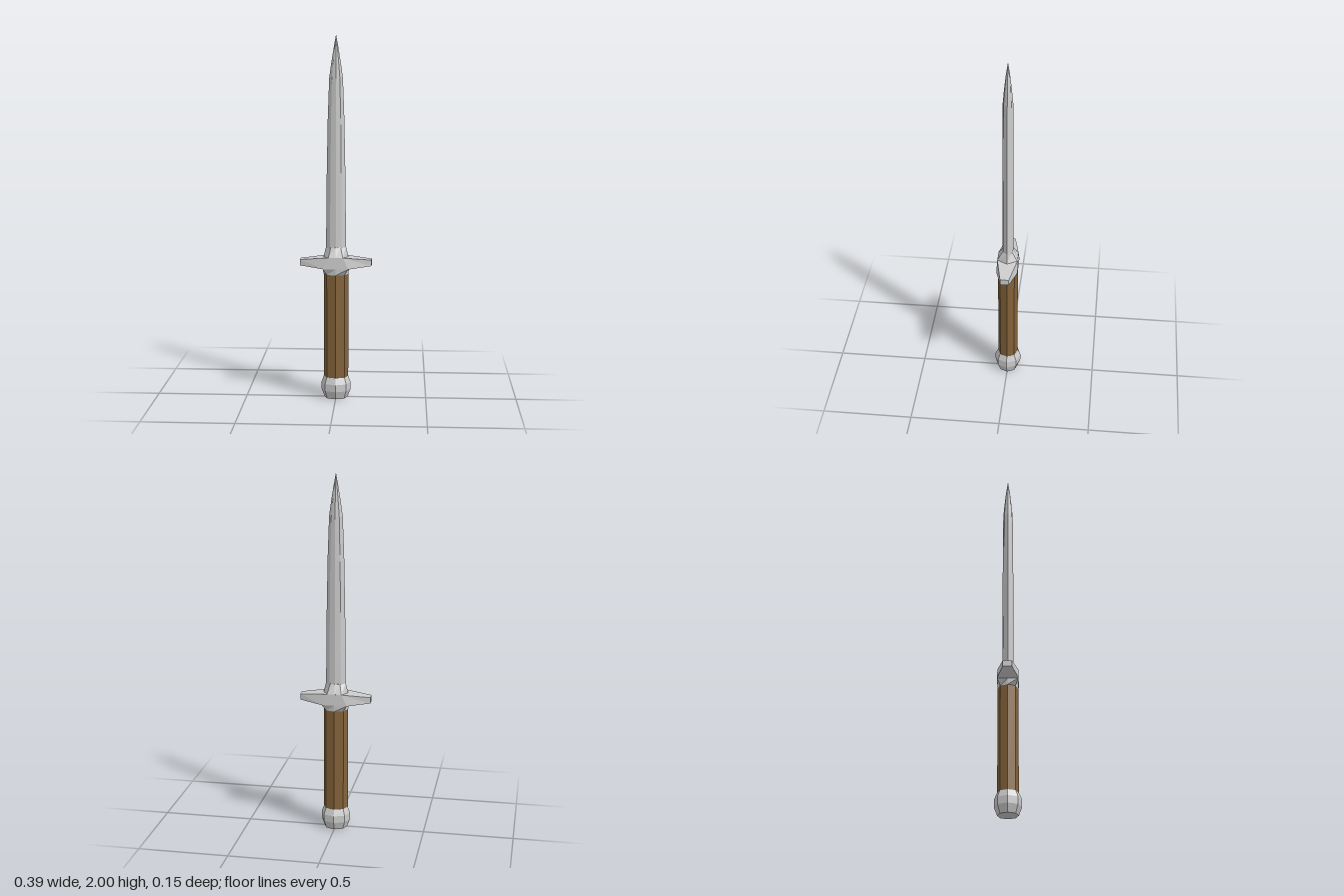
import * as THREE from 'three';

// Skin a list of equal-length point rings; both ends are capped.
function loft(name, rings, color = 0xcccccc) {
  const pos = [];
  const tri = (...pts) => pts.forEach((p) => pos.push(...p));
  const n = rings[0].length;
  for (let r = 0; r < rings.length - 1; r++) {
    const a = rings[r], b = rings[r + 1];
    for (let j = 0; j < n; j++) {
      const k = (j + 1) % n;
      tri(a[j], b[j], a[k]);
      tri(a[k], b[j], b[k]);
    }
  }
  const first = rings[0], last = rings[rings.length - 1];
  for (let i = 1; i < n - 1; i++) {
    tri(first[0], first[i], first[i + 1]);
    tri(last[0], last[i + 1], last[i]);
  }
  const geo = new THREE.BufferGeometry();
  geo.setAttribute('position', new THREE.Float32BufferAttribute(pos, 3));
  geo.computeVertexNormals();
  const mesh = new THREE.Mesh(geo, new THREE.MeshStandardMaterial({ color, flatShading: true }));
  mesh.name = name;
  return mesh;
}

// Horizontal eight-point ring: axis points (x, z) and diagonal points (dx, dz).
const ring = (y, x, z, dx = x * 0.72, dz = z * 0.72) => [
  [x, y, 0], [dx, y, dz], [0, y, z], [-dx, y, dz],
  [-x, y, 0], [-dx, y, -dz], [0, y, -z], [dx, y, -dz],
];

// Crossguard section: upper and lower edges may sit at different x.
const guardRing = (xTop, xBottom, top, bottom, zTop, zBottom) => [
  [xTop, top, zTop], [xTop, top, -zTop],
  [xBottom, bottom, -zBottom], [xBottom, bottom, zBottom],
];

export function createModel() {
  const dagger = new THREE.Group();
  dagger.name = 'dagger';

  // Faceted pommel
  dagger.add(loft('pommel', [
    ring(0, 0.064, 0.056),
    ring(0.045, 0.081, 0.073),
    ring(0.085, 0.081, 0.073),
    ring(0.12, 0.068, 0.057),
  ]));

  // Wooden grip
  dagger.add(loft('grip', [
    ring(0.12, 0.068, 0.056),
    ring(0.7, 0.068, 0.056),
  ], 0x84633a));

  // Collar flaring from the octagonal grip into the rectangular guard
  dagger.add(loft('lowerCollar', [
    ring(0.7, 0.068, 0.056, 0.048, 0.04),
    ring(0.735, 0.07, 0.057, 0.07, 0.057),
  ]));

  // Crossguard tapering towards both ends
  dagger.add(loft('crossguard', [
    guardRing(-0.196, -0.196, 0.782, 0.749, 0.024, 0.024),
    guardRing(-0.04, -0.07, 0.798, 0.735, 0.056, 0.058),
    guardRing(0.04, 0.07, 0.798, 0.735, 0.056, 0.058),
    guardRing(0.196, 0.196, 0.782, 0.749, 0.024, 0.024),
  ]));

  // Collar narrowing from the guard to the blade
  dagger.add(loft('upperCollar', [
    ring(0.796, 0.068, 0.056, 0.04, 0.056),
    ring(0.85, 0.055, 0.032, 0.027, 0.025),
  ]));

  // Double-edged blade: [height, half width, half thickness]
  const sections = [
    [0.84, 0.055, 0.031], [1.24, 0.051, 0.03], [1.55, 0.045, 0.029],
    [1.77, 0.037, 0.027], [1.85, 0.026, 0.02], [1.93, 0.013, 0.011], [2, 0.0005, 0.0005],
  ];
  dagger.add(loft('blade', sections.map(([y, x, z]) => ring(y, x, z, x * 0.58, z * 0.75))));

  return dagger;
}
